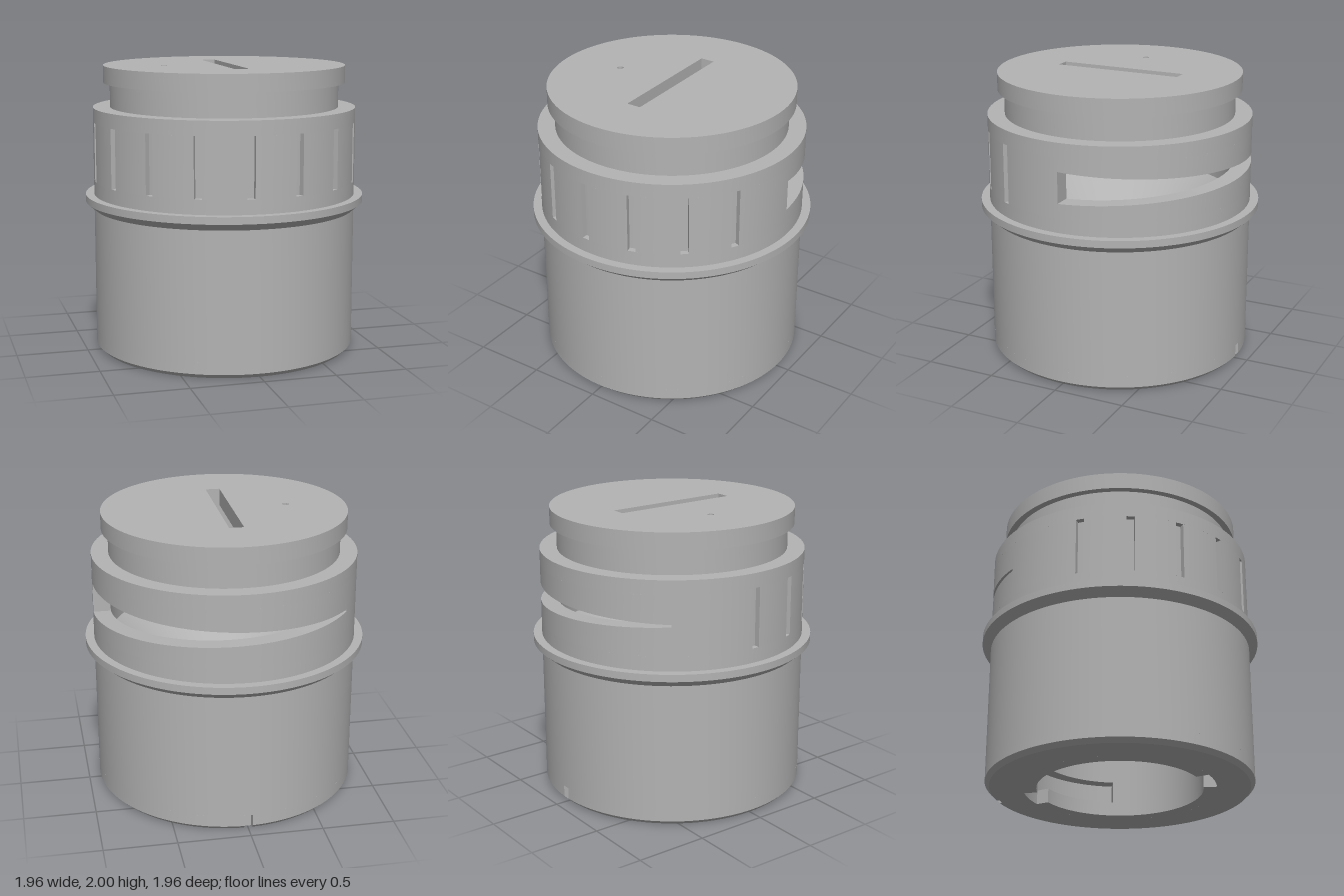
import * as THREE from 'three';
import { toCreasedNormals } from 'three/addons/utils/BufferGeometryUtils.js';

const grey = new THREE.MeshStandardMaterial({ color: 0xb3b3b3 });
grey.name = 'grey plastic';

// Angles are in degrees, from +z towards +x
const at = (r, deg, y) => {
  const a = THREE.MathUtils.degToRad(deg);
  return [r * Math.sin(a), y, r * Math.cos(a)];
};

// Curved solid block; y0 and y1 may be functions of t along the arc, rb is the outer radius at its foot
function block(out, a0, a1, r0, r1, y0, y1, rb = r1) {
  const f = (v, t) => (typeof v === 'function' ? v(t) : v);
  const quad = (a, b, c, d) => out.push(...a, ...b, ...c, ...a, ...c, ...d);
  const n = Math.max(1, Math.ceil((a1 - a0) / 2.5));
  const ring = (t) => {
    const a = a0 + (a1 - a0) * t;
    return [at(r0, a, f(y0, t)), at(rb, a, f(y0, t)), at(r1, a, f(y1, t)), at(r0, a, f(y1, t))];
  };
  for (let i = 0; i < n; i++) {
    const p = ring(i / n), q = ring((i + 1) / n);
    quad(p[1], q[1], q[2], p[2]);
    quad(p[2], q[2], q[3], p[3]);
    quad(p[3], q[3], q[0], p[0]);
    quad(p[0], q[0], q[1], p[1]);
  }
  if (a1 - a0 < 360) {
    const p = ring(0), q = ring(1);
    quad(p[0], p[1], p[2], p[3]);
    quad(q[3], q[2], q[1], q[0]);
  }
}

function mesh(name, geometry) {
  const m = new THREE.Mesh(toCreasedNormals(geometry, 0.5), grey);
  m.name = name;
  return m;
}

function sectors(name, build) {
  const out = [];
  build((...args) => block(out, ...args));
  const g = new THREE.BufferGeometry();
  g.setAttribute('position', new THREE.Float32BufferAttribute(out, 3));
  return mesh(name, g);
}

const lathe = (name, pts) =>
  mesh(name, new THREE.LatheGeometry(pts.map(([x, y]) => new THREE.Vector2(x, y)), 144));

export function createModel() {
  const model = new THREE.Group();
  model.name = 'slottedCanister';

  // Body with flange, inner funnel and stepped bore
  model.add(lathe('body', [
    [0.92, 0.11], [0.92, 1.0], [0.98, 1.05], [0.98, 1.1], [0.8, 1.1],
    [0.32, 0.6], [0.32, 0.55], [0.44, 0.55], [0.44, 0.45], [0.66, 0.45],
    [0.66, 0.11], [0.92, 0.11],
  ]));

  // Chamfered foot with a small locating notch at the back
  model.add(sectors('foot', (add) => {
    const half = 1.7;
    add(180 + half, 540 - half, 0.66, 0.92, 0, 0.03, 0.89);
    add(180 + half, 540 - half, 0.66, 0.92, 0.03, 0.11);
    add(180 - half, 180 + half, 0.66, 0.87, 0, 0.11);
  }));

  // Bore lining with two bayonet entries and their turning tracks
  model.add(sectors('bayonetRing', (add) => {
    for (const s of [0, 180]) {
      add(s + 11, s + 169, 0.57, 0.66, 0, 0.1);
      add(s + 11, s + 112, 0.57, 0.66, 0.1, 0.25);
    }
    add(0, 360, 0.57, 0.66, 0.25, 0.45);
  }));

  // Upper band: grip grooves round the front, tapering window round the back
  model.add(sectors('gripBand', (add) => {
    const r0 = 0.8, r1 = 0.92, lo = 1.2, hi = 1.61;
    add(0, 360, r0, r1, 1.1, lo);
    add(0, 360, r0, r1, hi, 1.71);
    let start = -127;
    for (let k = -4; k <= 3; k++) {
      const a = -4.3 + 21.5 * k;
      add(start, a - 1.7, r0, r1, lo, hi);
      add(a - 1.7, a + 1.7, r0, 0.88, lo, hi);
      start = a + 1.7;
    }
    add(start, 90, r0, r1, lo, hi);
    const gap = (t) => 0.1075 * (1 - 0.93 * t);
    add(90, 233, r0, r1, lo, (t) => 1.407 - gap(t));
    add(90, 233, r0, r1, (t) => 1.407 + gap(t), hi);
  }));

  // Neck under the lid
  model.add(lathe('neck', [
    [0.74, 1.68], [0.8, 1.68], [0.8, 1.88], [0.74, 1.88], [0.74, 1.68],
  ]));

  // Lid with a long slot and a pin hole
  const disc = new THREE.Shape().absarc(0, 0, 0.845, 0, Math.PI * 2, false);
  const slot = new THREE.Path([[-0.05, -0.45], [-0.05, 0.45], [0.05, 0.45], [0.05, -0.45]]
    .map(([x, y]) => new THREE.Vector2(x, y)));
  slot.closePath();
  const pin = new THREE.Path().absarc(-0.43, 0, 0.022, 0, Math.PI * 2, true);
  disc.holes.push(slot, pin);
  const lidGeo = new THREE.ExtrudeGeometry(disc, { depth: 0.12, bevelEnabled: false, curveSegments: 72 });
  lidGeo.rotateX(-Math.PI / 2).translate(0, 1.88, 0);
  model.add(mesh('lid', lidGeo));

  return model;
}
